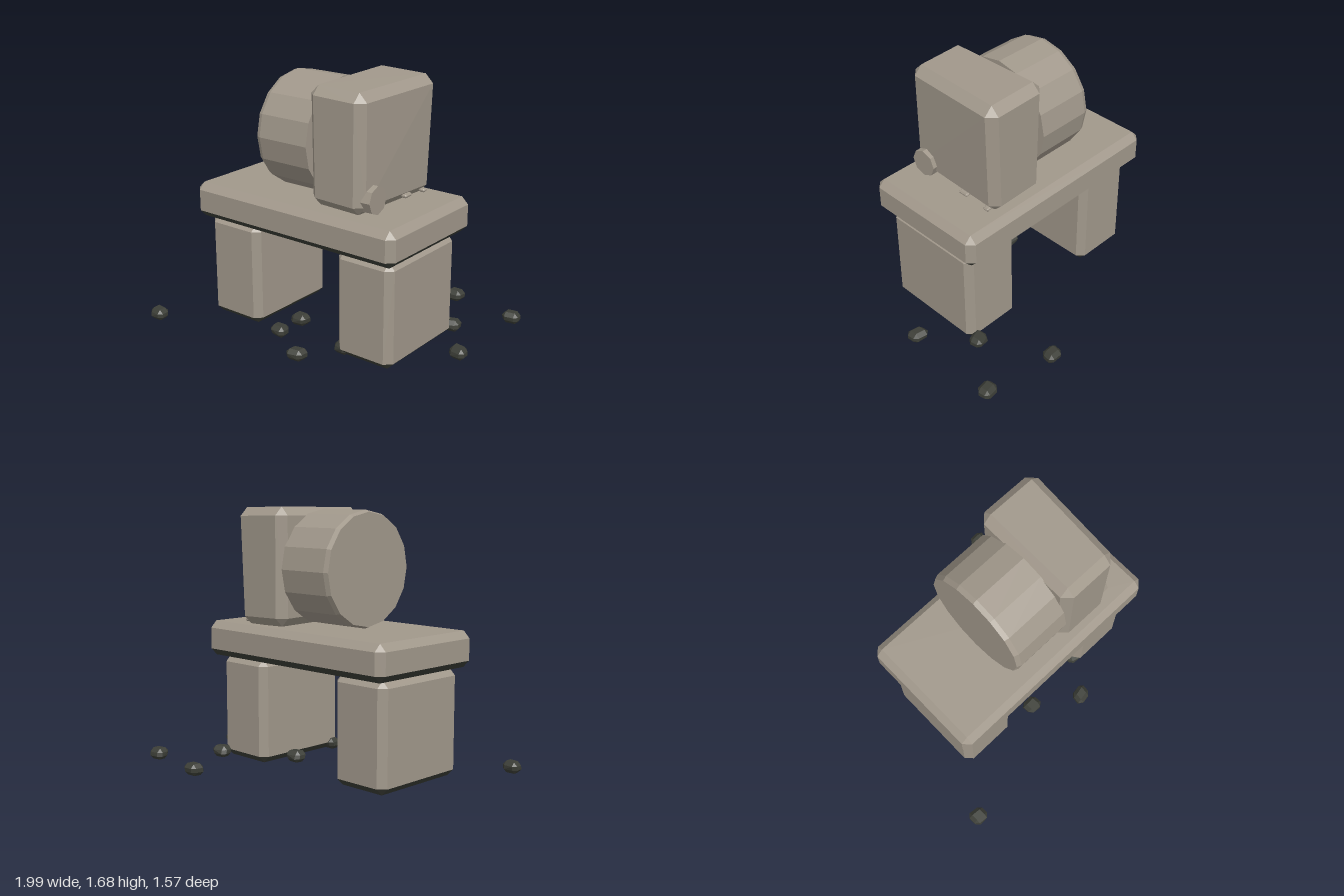
import * as THREE from 'three';
import { ConvexGeometry } from 'three/addons/geometries/ConvexGeometry.js';

const stone = new THREE.MeshStandardMaterial({ color: 0xa1988b });
stone.name = 'stone';
const darkStone = new THREE.MeshStandardMaterial({ color: 0x3c3e37 });
darkStone.name = 'darkStone';

// Block with chamfered edges; warp(point, sx, sy, sz) may shift each vertex
function chamferBlock(w, h, d, c, warp) {
  const points = [];
  for (const sx of [-1, 1]) for (const sy of [-1, 1]) for (const sz of [-1, 1]) {
    for (let axis = 0; axis < 3; axis++) {
      const p = new THREE.Vector3(
        sx * (w / 2 - (axis === 0 ? 0 : c)),
        sy * (h / 2 - (axis === 1 ? 0 : c)),
        sz * (d / 2 - (axis === 2 ? 0 : c)));
      if (warp) warp(p, sx, sy, sz);
      points.push(p);
    }
  }
  return new ConvexGeometry(points);
}

// Reorder triangles into two groups: 0 = upper and side faces, 1 = faces turned down
function splitUnderside(geometry) {
  const pos = geometry.attributes.position.array;
  const nor = geometry.attributes.normal.array;
  const up = [], down = [];
  for (let i = 0; i < pos.length; i += 9) (nor[i + 1] < -0.2 ? down : up).push(i);
  const order = [...up, ...down];
  for (const [name, src] of [['position', pos], ['normal', nor]]) {
    const out = [];
    for (const i of order) out.push(...src.slice(i, i + 9));
    geometry.setAttribute(name, new THREE.Float32BufferAttribute(out, 3));
  }
  geometry.clearGroups();
  geometry.addGroup(0, up.length * 3, 0);
  geometry.addGroup(up.length * 3, down.length * 3, 1);
  return geometry;
}

// Faceted drum with its axis along x and a fine bevel on the -x rim
function drumGeometry(radius, length, sides, bevel) {
  const profile = [[0, -length / 2], [radius, -length / 2],
    [radius, length / 2 - bevel], [radius - bevel * 0.4, length / 2], [0, length / 2]];
  const g = new THREE.LatheGeometry(profile.map(([x, y]) => new THREE.Vector2(x, y)), sides);
  g.rotateZ(Math.PI / 2);
  const flat = g.toNonIndexed();
  flat.computeVertexNormals();
  return flat;
}

export function createModel() {
  const model = new THREE.Group();
  const add = (name, geometry, material, x, y, z) => {
    const mesh = new THREE.Mesh(geometry, material);
    mesh.name = name;
    mesh.position.set(x, y, z);
    model.add(mesh);
    return mesh;
  };
  const twoTone = [stone, darkStone];

  // Table slab and its two block legs, dark underneath
  add('tableTop', splitUnderside(chamferBlock(1.56, 0.23, 0.865, 0.045)), twoTone, -0.01, 0.817, 0.065);
  for (const [name, x] of [['rightLeg', -0.532], ['leftLeg', 0.51]]) {
    add(name, splitUnderside(chamferBlock(0.412, 0.69, 0.71, 0.045)), twoTone, x, 0.357, 0.07);
  }

  // Round stone lying against the upright block
  add('drumStone', drumGeometry(0.37, 0.395, 16, 0.03), stone, -0.1025, 1.305, 0.063);

  // Upright block, slightly uneven
  const uneven = (p, sx, sy, sz) => {
    if (sx > 0) p.x -= 0.012 * sz * (1 + 0.4 * sy) + 0.004 - 0.006 * sy;
    else p.x -= 0.005 * sy;
    if (sy > 0) p.y -= 0.006 * sz + 0.004 * sx;
    else p.y += 0.005 * sz - 0.004 * sx;
    if (sz < 0) p.z -= 0.004 * sy;
  };
  add('uprightBlock', chamferBlock(0.415, 0.745, 0.73, 0.055, uneven), stone, 0.302, 1.31, 0.056);

  // Small eight-sided disc on the side of the block
  const disc = new THREE.CylinderGeometry(0.09, 0.09, 0.07, 8).rotateZ(Math.PI / 2).toNonIndexed();
  disc.computeVertexNormals();
  add('sideDisc', disc, stone, 0.495, 1.03, 0.3).rotation.y = 0.04;

  // Chips poking out under the block
  for (const [x, y, z, w] of [[0.475, 0.972, -0.04, 0.07], [0.47, 0.955, -0.23, 0.04]]) {
    add('chip', chamferBlock(0.09, 0.024, w, 0.008), stone, x, y, z).rotation.z = -0.1;
  }

  // Pebbles scattered on the ground: x, z, turn
  const pebbles = [
    [0.455, -0.74, 0.1], [0.94, -0.66, 0.06], [0.925, -0.015, -0.05], [0.16, 0.615, 0.08],
    [-0.935, 0.73, 0.03], [-0.14, 0.43, -0.1], [-0.14, 0.22, 0.12], [0.69, -0.32, 0.2],
    [0.325, 0.365, -0.15], [0.23, -0.06, 0.1],
  ];
  pebbles.forEach(([x, z, turn], i) => {
    const skew = (p, sx, sy, sz) => {
      p.x += 0.006 * Math.sin(i * 2 + sy * 3 + sz);
      p.z += 0.005 * Math.sin(i * 3 + sx * 2 + sy);
    };
    add('pebble', chamferBlock(0.112, 0.076, 0.096, 0.025, skew), darkStone, x, 0.046, z).rotation.y = turn;
  });

  return model;
}
